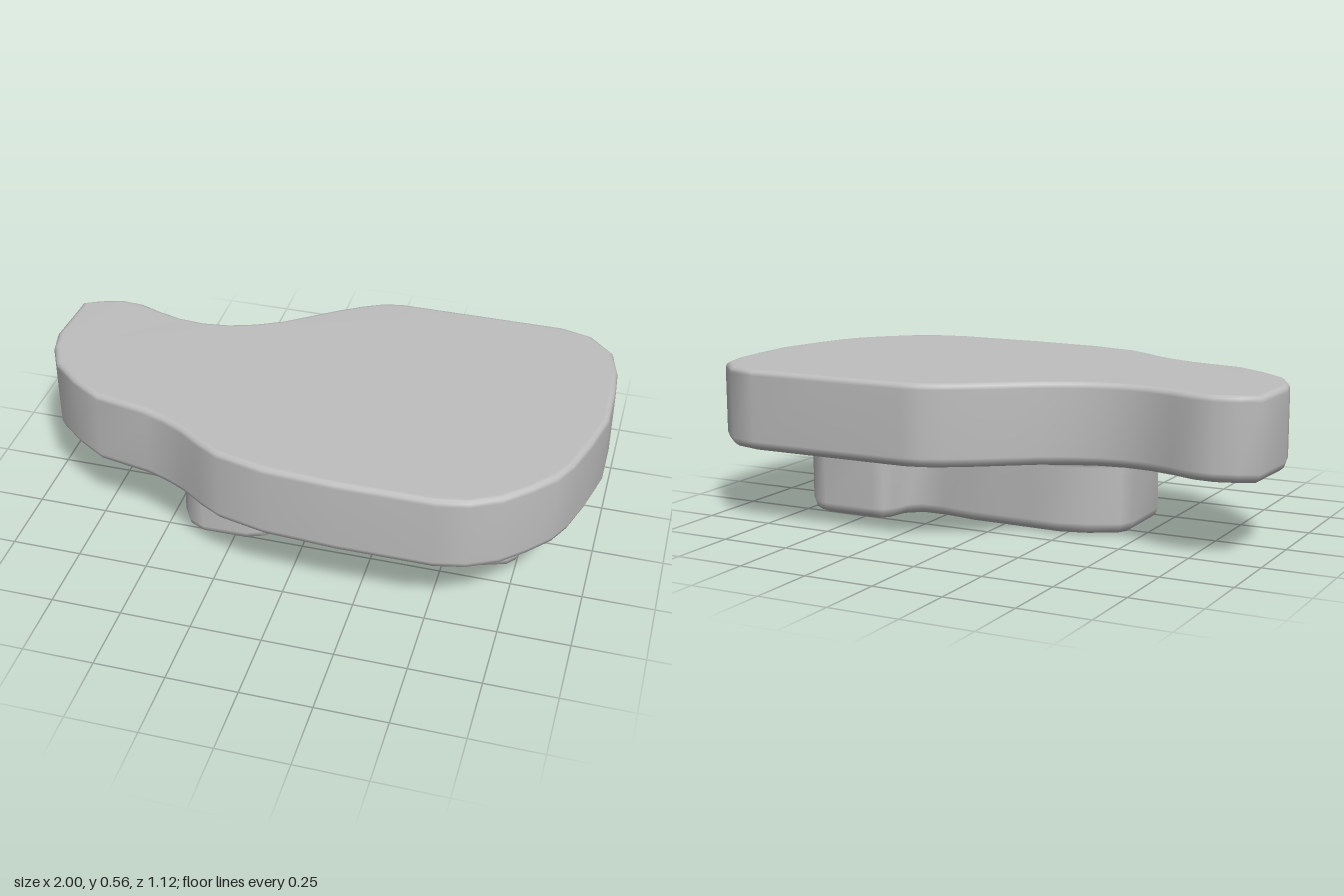
import * as THREE from 'three';

// Outline of the top slab as x, z pairs: along the back, then back along the front
const slabOutline = [
  -.99, -.255, -.93, -.285, -.85, -.31, -.77, -.305, -.69, -.275, -.6, -.25, -.51, -.243, -.42, -.255,
  -.33, -.285, -.24, -.33, -.15, -.395, -.06, -.46, .02, -.51, .09, -.545, .16, -.56, .46, -.56,
  .76, -.56, .87, -.53, .96, -.44, .99, -.33, 1, -.2, 1, -.03, .965, .12, .925, .25, .885, .33,
  .815, .41, .735, .485, .635, .537, .53, .56, .2, .56, -.05, .545, -.22, .505, -.3, .46, -.38, .405,
  -.45, .37, -.53, .34, -.72, .303, -.83, .235, -.93, .15, -.98, .05, -1, -.03,
];

// Two-lobed outline of the hollow foot, same direction
const footOutline = [
  -.455, -.03, -.43, -.08, -.33, -.135, -.23, -.163, -.12, -.16, 0, -.157, .12, -.155, .24, -.135,
  .33, -.135, .37, -.17, .385, -.24, .41, -.275, .45, -.285, .65, -.285, .71, -.26, .75, -.21,
  .765, -.15, .765, .08, .755, .14, .725, .175, .6, .22, .5, .247, .43, .247, .39, .22, .37, .16,
  .34, .11, .27, .092, .17, .1, .05, .14, -.06, .195, -.14, .255, -.2, .28, -.36, .283, -.42, .255,
  -.452, .2,
];

const toPoints = (flat) =>
  Array.from({ length: flat.length / 2 }, (_, i) => new THREE.Vector2(flat[2 * i], flat[2 * i + 1]));

// Moves the outline inwards by a distance
function inset(points, distance) {
  const n = points.length;
  const normal = (a, b) => new THREE.Vector2(b.y - a.y, a.x - b.x).normalize();
  return points.map((p, i) => {
    const n1 = normal(points[(i + n - 1) % n], p);
    const n2 = normal(p, points[(i + 1) % n]);
    const miter = n1.clone().add(n2).divideScalar(1 + n1.dot(n2));
    return p.clone().addScaledVector(miter, -distance);
  });
}

// Stacks inset outlines from [inset, height] steps, with an optional flat top
function stack(points, profile, topped) {
  const n = points.length;
  const position = [];
  const index = [];
  for (const [distance, y] of profile) {
    for (const p of inset(points, distance)) position.push(p.x, y, p.y);
  }
  for (let k = 0; k < profile.length - 1; k++) {
    for (let i = 0; i < n; i++) {
      const a = k * n + i;
      const b = k * n + (i + 1) % n;
      index.push(a, a + n, b, b, a + n, b + n);
    }
  }
  if (topped) {
    const top = (profile.length - 1) * n;
    for (const [a, b, c] of THREE.ShapeUtils.triangulateShape(points, [])) {
      const u = points[b].clone().sub(points[a]);
      const v = points[c].clone().sub(points[a]);
      const [p, q] = u.cross(v) < 0 ? [b, c] : [c, b];
      index.push(top + a, top + p, top + q);
    }
  }
  const geometry = new THREE.BufferGeometry();
  geometry.setAttribute('position', new THREE.Float32BufferAttribute(position, 3));
  geometry.setIndex(index);
  geometry.computeVertexNormals();
  return geometry;
}

export function createModel() {
  const model = new THREE.Group();
  model.name = 'slabOnFoot';
  const grey = new THREE.MeshStandardMaterial({ color: 0xbebebe, side: THREE.DoubleSide });
  grey.name = 'grey';
  const slabPoints = toPoints(slabOutline);
  const footPoints = toPoints(footOutline);

  // Thick slab with softened rims
  const slab = new THREE.Mesh(stack(slabPoints, [
    [.04, .27], [.022, .274], [.007, .286], [0, .306], [0, .538], [.004, .55], [.013, .557], [.022, .558],
  ], true), grey);
  slab.name = 'slab';

  // Flat underside around the hollow foot
  const ring = new THREE.Shape(inset(slabPoints, .04));
  ring.holes.push(new THREE.Path(inset(footPoints, -.025)));
  const underside = new THREE.Mesh(new THREE.ShapeGeometry(ring).rotateX(Math.PI / 2), grey);
  underside.position.y = .27;
  underside.name = 'underside';

  // Foot wall, open below, flaring into the slab and curling in at the floor
  const foot = new THREE.Mesh(stack(footPoints, [
    [.04, 0], [.025, .003], [.008, .016], [0, .04], [0, .238], [-.005, .255], [-.015, .266], [-.025, .27],
  ], false), grey);
  foot.name = 'foot';

  model.add(slab, underside, foot);
  return model;
}
